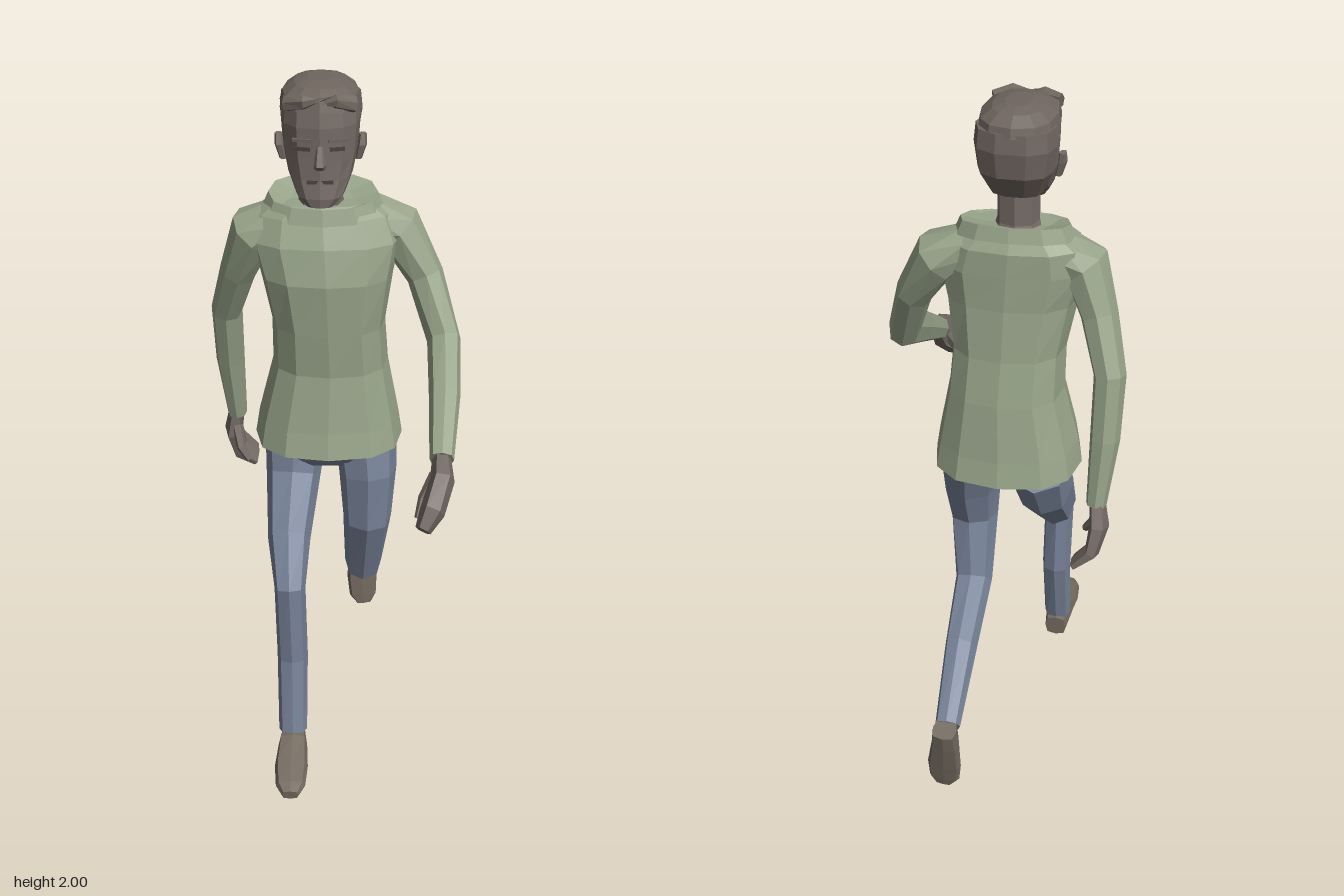
import * as THREE from 'three';

const V = (x, y, z) => new THREE.Vector3(x, y, z);
const paint = (name, color) => {
  const m = new THREE.MeshStandardMaterial({ color, flatShading: true });
  m.name = name;
  return m;
};

// Skin over a row of rounded cross-sections [x, y, z, halfWidth, halfDepth].
// Sections face along the path, or along a fixed axis when one is given.
function loft(sections, { sides = 8, square = 0.85, axis = null } = {}) {
  const pos = [], index = [];
  const centres = sections.map((s) => V(s[0], s[1], s[2]));
  const last = sections.length - 1;
  const step = (i) => centres[i + 1].clone().sub(centres[i]).normalize();
  const bend = (c) => Math.sign(c) * Math.pow(Math.abs(c) < 1e-6 ? 0 : Math.abs(c), square);
  sections.forEach((s, i) => {
    const t = axis ? axis.clone() : V(0, 0, 0);
    if (!axis && i > 0) t.add(step(i - 1));
    if (!axis && i < last) t.add(step(i));
    t.normalize();
    const u = V(1, 0, 0).addScaledVector(t, -t.x).normalize();
    const v = t.clone().cross(u);
    for (let j = 0; j < sides; j++) {
      const a = (j / sides) * Math.PI * 2;
      const p = centres[i].clone()
        .addScaledVector(u, bend(Math.cos(a)) * s[3])
        .addScaledVector(v, bend(Math.sin(a)) * s[4]);
      pos.push(p.x, p.y, p.z);
    }
  });
  for (let i = 0; i < last; i++) {
    for (let j = 0; j < sides; j++) {
      const k = (j + 1) % sides, a = i * sides, d = a + sides;
      index.push(a + j, a + k, d + k, a + j, d + k, d + j);
    }
  }
  for (let j = 1; j < sides - 1; j++) {
    index.push(0, j + 1, j);
    index.push(last * sides, last * sides + j, last * sides + j + 1);
  }
  const g = new THREE.BufferGeometry();
  g.setAttribute('position', new THREE.Float32BufferAttribute(pos, 3));
  g.setIndex(index);
  const flat = g.toNonIndexed();
  flat.computeVertexNormals();
  return flat;
}

export function createModel() {
  const model = new THREE.Group();
  const shirt = paint('sage shirt', 0x98a48a);
  const denim = paint('blue trousers', 0x7a859b);
  const skin = paint('skin', 0x756b66);
  const hair = paint('hair', 0x6f655f);
  const shoe = paint('shoe leather', 0x766c62);
  const dark = paint('dark features', 0x4b433f);

  const add = (name, geometry, material, parent = model) => {
    const m = new THREE.Mesh(geometry, material);
    m.name = name;
    parent.add(m);
    return m;
  };
  const up = V(0, 1, 0);

  // Shirt body and collar
  add('shirtBody', loft([
    [-0.015, 0.925, -0.03, 0.215, 0.187],
    [-0.015, 1.0, -0.03, 0.203, 0.172],
    [-0.01, 1.17, -0.03, 0.165, 0.15],
    [-0.015, 1.3, -0.012, 0.16, 0.142],
    [-0.02, 1.45, 0, 0.185, 0.138],
    [-0.025, 1.55, -0.01, 0.21, 0.125],
    [-0.03, 1.62, -0.025, 0.19, 0.108],
    [-0.033, 1.655, -0.025, 0.14, 0.09],
  ], { sides: 12, square: 0.8, axis: up }), shirt);
  add('collar', loft([
    [-0.03, 1.63, -0.02, 0.168, 0.112],
    [-0.03, 1.672, -0.02, 0.15, 0.1],
    [-0.033, 1.655, -0.01, 0.085, 0.075],
  ], { sides: 12, axis: V(0, 1, 0.2) }), shirt);

  // Sleeves
  add('rightSleeve', loft([
    [-0.14, 1.6, -0.02, 0.055, 0.08],
    [-0.225, 1.555, -0.02, 0.07, 0.085],
    [-0.27, 1.43, -0.06, 0.052, 0.07],
    [-0.312, 1.28, -0.12, 0.045, 0.06],
    [-0.31, 1.1, -0.16, 0.042, 0.052],
    [-0.297, 0.9, -0.195, 0.029, 0.036],
  ]), shirt);
  add('leftSleeve', loft([
    [0.09, 1.6, -0.03, 0.055, 0.08],
    [0.18, 1.56, -0.045, 0.07, 0.085],
    [0.255, 1.43, -0.01, 0.052, 0.068],
    [0.308, 1.265, 0.065, 0.047, 0.065],
    [0.305, 1.17, 0.23, 0.043, 0.05],
    [0.292, 1.07, 0.4, 0.033, 0.036],
  ]), shirt);

  // Hands
  add('rightHand', loft([
    [-0.298, 0.92, -0.19, 0.022, 0.028],
    [-0.31, 0.84, -0.21, 0.028, 0.058],
    [-0.295, 0.765, -0.235, 0.022, 0.06],
    [-0.245, 0.722, -0.245, 0.012, 0.05],
  ], { sides: 6 }), skin);
  add('rightThumb', loft([
    [-0.298, 0.86, -0.18, 0.018, 0.022],
    [-0.285, 0.8, -0.15, 0.015, 0.018],
    [-0.26, 0.765, -0.135, 0.01, 0.012],
  ], { sides: 6 }), skin);
  add('leftHand', loft([
    [0.292, 1.075, 0.39, 0.025, 0.03],
    [0.292, 1.035, 0.45, 0.033, 0.056],
    [0.265, 0.975, 0.51, 0.034, 0.055],
    [0.24, 0.935, 0.54, 0.022, 0.038],
  ], { sides: 6 }), skin);
  add('leftThumb', loft([
    [0.275, 1.04, 0.43, 0.018, 0.02],
    [0.245, 0.98, 0.45, 0.016, 0.018],
    [0.23, 0.935, 0.48, 0.011, 0.012],
  ], { sides: 6 }), skin);

  // Trousers
  add('trouserSeat', loft([
    [-0.015, 0.865, -0.02, 0.13, 0.1],
    [-0.015, 0.91, -0.025, 0.185, 0.15],
    [-0.015, 0.96, -0.025, 0.185, 0.15],
  ], { sides: 10, axis: up }), denim);
  add('rightTrouserLeg', loft([
    [-0.112, 0.93, -0.04, 0.092, 0.13],
    [-0.12, 0.8, 0.01, 0.08, 0.1],
    [-0.13, 0.655, 0.145, 0.062, 0.085],
    [-0.125, 0.56, 0.257, 0.045, 0.076],
    [-0.12, 0.32, 0.253, 0.045, 0.054],
    [-0.12, 0.075, 0.298, 0.042, 0.034],
  ]), denim);
  add('leftTrouserLeg', loft([
    [0.09, 0.94, -0.025, 0.095, 0.145],
    [0.1, 0.82, 0.005, 0.085, 0.125],
    [0.1, 0.67, 0.02, 0.072, 0.09],
    [0.09, 0.46, -0.05, 0.056, 0.066],
    [0.085, 0.365, -0.27, 0.048, 0.064],
    [0.08, 0.25, -0.485, 0.037, 0.037],
  ]), denim);

  // Shoes: the right one flat on the ground, the left one pushing off its toe
  add('rightShoe', loft([
    [-0.12, 0.037, 0.258, 0.034, 0.037],
    [-0.12, 0.042, 0.335, 0.043, 0.042],
    [-0.122, 0.031, 0.42, 0.049, 0.031],
    [-0.122, 0.022, 0.495, 0.043, 0.022],
    [-0.122, 0.016, 0.528, 0.024, 0.016],
  ], { square: 0.6 }), shoe);
  add('leftShoe', loft([
    [0.08, 0.27, -0.522, 0.035, 0.036],
    [0.083, 0.2, -0.506, 0.041, 0.034],
    [0.092, 0.1, -0.49, 0.05, 0.022],
    [0.095, 0.035, -0.48, 0.045, 0.014],
    [0.1, 0.003, -0.475, 0.024, 0.009],
  ], { square: 0.6 }), shoe);

  // Head and neck, modelled around x = 0 and then shifted
  const head = new THREE.Group();
  head.name = 'head';
  head.position.x = -0.035;
  model.add(head);
  add('neck', loft([
    [0, 1.61, -0.015, 0.075, 0.07],
    [0, 1.67, 0, 0.058, 0.062],
    [0, 1.8, 0.005, 0.058, 0.066],
  ], { axis: up }), skin, head);
  add('face', loft([
    [0, 1.688, 0.122, 0.038, 0.038],
    [0, 1.712, 0.1, 0.064, 0.063],
    [0, 1.76, 0.06, 0.086, 0.096],
    [0, 1.82, 0.025, 0.1, 0.13],
    [0, 1.9, 0.018, 0.106, 0.137],
    [0, 1.945, 0.015, 0.102, 0.133],
  ], { sides: 12, square: 0.8, axis: up }), skin, head);
  add('hairTop', loft([
    [0, 1.94, 0.015, 0.108, 0.139],
    [0, 1.967, 0.015, 0.101, 0.132],
    [0, 1.99, 0.01, 0.07, 0.095],
    [0, 2.0, 0.005, 0.035, 0.05],
  ], { sides: 12, square: 0.8, axis: up }), hair, head);
  add('hairBack', loft([
    [0, 1.76, -0.025, 0.07, 0.05],
    [0, 1.83, -0.05, 0.1, 0.072],
    [0, 1.9, -0.045, 0.111, 0.085],
    [0, 1.95, -0.04, 0.106, 0.082],
  ], { sides: 10, axis: up }), hair, head);
  add('fringe', loft([
    [-0.09, 1.957, 0.115, 0.016, 0.022],
    [-0.04, 1.965, 0.138, 0.022, 0.018],
    [0.04, 1.968, 0.138, 0.022, 0.018],
    [0.09, 1.955, 0.115, 0.016, 0.022],
  ], { sides: 6 }), hair, head);
  add('nose', loft([
    [0, 1.855, 0.15, 0.009, 0.008],
    [0, 1.805, 0.162, 0.016, 0.018],
    [0, 1.793, 0.156, 0.014, 0.012],
  ], { sides: 6, axis: V(0, -1, 0) }), skin, head);
  add('mouth', new THREE.BoxGeometry(0.07, 0.009, 0.008), dark, head).position.set(0, 1.757, 0.151);

  // Paired face details
  for (const side of [-1, 1]) {
    const name = side > 0 ? 'left' : 'right';
    const eye = add(name + 'Eye', new THREE.BoxGeometry(0.04, 0.01, 0.008), dark, head);
    eye.position.set(side * 0.045, 1.845, 0.144);
    eye.rotation.y = side * 0.24;
    const brow = add(name + 'Brow', new THREE.BoxGeometry(0.05, 0.008, 0.009), hair, head);
    brow.position.set(side * 0.047, 1.868, 0.145);
    brow.rotation.y = side * 0.24;
    add(name + 'Ear', loft([
      [side * 0.1, 1.785, 0.035, 0.01, 0.012],
      [side * 0.11, 1.825, 0.035, 0.013, 0.02],
      [side * 0.112, 1.852, 0.03, 0.01, 0.016],
    ], { sides: 6, axis: up }), skin, head);
  }
  return model;
}
